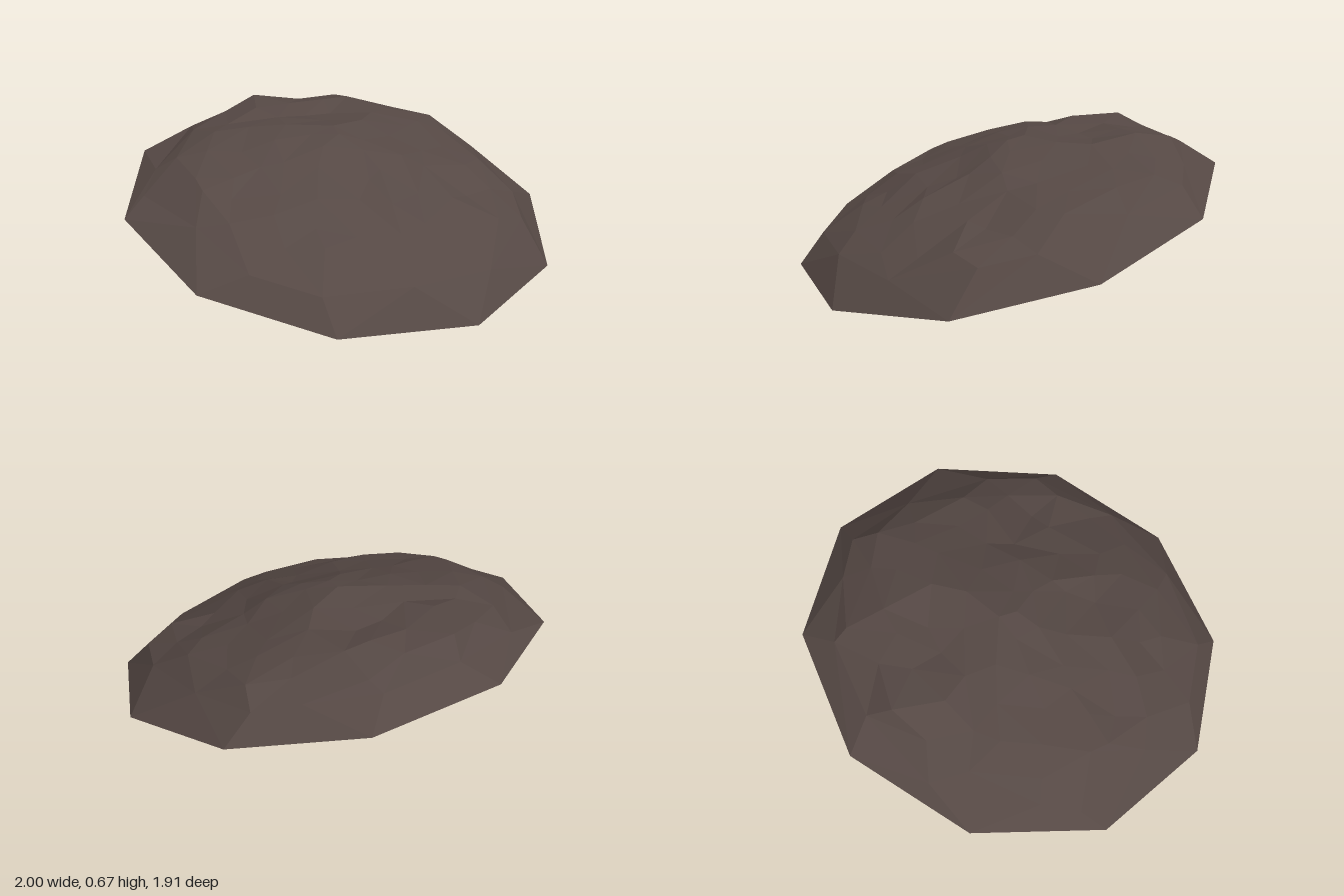
import * as THREE from 'three';

// Half of the ten-cornered rim (x, z); the other half is point-symmetric
const HALF_RIM = [[0.41, 0.88], [-0.21, 0.955], [-0.74, 0.665], [-1, 0.12], [-0.87, -0.47]];
const RIM = [...HALF_RIM, ...HALF_RIM.map(([x, z]) => [-x, -z])];

// Dome height above the rim plane, by fraction of the way out from the centre
const PROFILE = [
  [0, 0.34], [0.3, 0.305], [0.5, 0.255], [0.63, 0.22], [0.75, 0.18], [0.85, 0.135], [0.92, 0.085], [1, 0],
];

// Rings from the rim inward: scale and number of points
const RINGS = [[1, 10], [0.88, 15], [0.75, 20], [0.61, 20], [0.45, 15], [0.29, 10], [0.13, 5]];

// Bumps and hollows: x, z, radius, height
const BUMPS = [
  [0.02, 0, 0.15, 0.012], [-0.3, -0.5, 0.13, 0.035], [0.2, -0.5, 0.13, 0.025],
  [-0.02, -0.32, 0.13, -0.035], [0.44, 0.2, 0.13, -0.045], [0.28, 0.68, 0.11, -0.025],
  [-0.42, 0.12, 0.12, -0.025], [0.45, -0.46, 0.11, 0.025], [0.68, -0.46, 0.12, 0.05],
  [0.87, -0.15, 0.16, 0.055], [0.82, 0.28, 0.16, 0.05], [0, 0.83, 0.14, 0.05],
  [-0.88, 0, 0.16, -0.02], [0.1, 0.3, 0.14, -0.02], [-0.64, -0.44, 0.12, -0.02],
];

function makeRandom(seed) {
  return () => {
    seed = (seed * 16807) % 2147483647;
    return seed / 2147483647 - 0.5;
  };
}

// Point on the rim polygon, t counted in corners
function rimPoint(t) {
  const u = ((t % 10) + 10) % 10, i = Math.floor(u), f = u - i;
  const a = RIM[i], b = RIM[(i + 1) % 10];
  return [a[0] + (b[0] - a[0]) * f, a[1] + (b[1] - a[1]) * f];
}

function profileHeight(s) {
  for (let i = 1; i < PROFILE.length; i++) {
    const [s0, h0] = PROFILE[i - 1], [s1, h1] = PROFILE[i];
    if (s <= s1) return h0 + ((h1 - h0) * (s - s0)) / (s1 - s0);
  }
  return 0;
}

// Tilted rim plane plus dome plus bumps
function surfacePoint(t, s, lift) {
  const [x, z] = rimPoint(t).map((v) => v * s);
  let y = 0.267 - 0.078 * x - 0.265 * z + profileHeight(s) + lift;
  if (s < 1) {
    for (const [bx, bz, r, h] of BUMPS) {
      y += h * Math.exp(-((x - bx) ** 2 + (z - bz) ** 2) / (r * r));
    }
  }
  return [x, y, z];
}

function shellGeometry() {
  const rand = makeRandom(2903);
  const positions = [], index = [];

  // Irregular rings of points; the rim itself stays exact
  const rings = RINGS.map(([scale, n], k) => {
    const ring = [], jitter = k === 0 ? 0 : 1, step = 10 / n;
    for (let i = 0; i < n; i++) {
      const t = (i + (k % 2 === 1 ? 0.5 : 0) + jitter * rand() * 0.6) * step;
      const s = scale + jitter * rand() * 0.09;
      ring.push({ t, id: positions.length / 3 });
      positions.push(...surfacePoint(t, s, jitter * rand() * 0.03));
    }
    return ring;
  });

  // Stitch each ring to the next, advancing whichever side lags behind
  const at = (ring, i) => ({
    id: ring[i % ring.length].id,
    t: ring[i % ring.length].t + 10 * Math.floor(i / ring.length),
  });
  for (let k = 0; k + 1 < rings.length; k++) {
    const outer = rings[k], inner = rings[k + 1];
    let a = 0, b = 0;
    while (a < outer.length || b < inner.length) {
      const o = at(outer, a), o2 = at(outer, a + 1), n = at(inner, b), n2 = at(inner, b + 1);
      const moveOuter = b >= inner.length || (a < outer.length && o2.t + o.t < n2.t + n.t);
      if (moveOuter) {
        index.push(o.id, n.id, o2.id);
        a++;
      } else {
        index.push(o.id, n.id, n2.id);
        b++;
      }
    }
  }

  // Close the crown
  const crown = positions.length / 3;
  positions.push(...surfacePoint(0, 0, 0));
  const last = rings[rings.length - 1];
  last.forEach((p, i) => index.push(p.id, crown, last[(i + 1) % last.length].id));

  // Wind every face so that it looks upward
  for (let i = 0; i < index.length; i += 3) {
    const [a, b, c] = [0, 1, 2].map((j) => new THREE.Vector3().fromArray(positions, index[i + j] * 3));
    if (b.sub(a).cross(c.sub(a)).y < 0) [index[i + 1], index[i + 2]] = [index[i + 2], index[i + 1]];
  }

  const geometry = new THREE.BufferGeometry();
  geometry.setAttribute('position', new THREE.Float32BufferAttribute(positions, 3));
  geometry.setIndex(index);
  const faceted = geometry.toNonIndexed();
  faceted.computeVertexNormals();
  return faceted;
}

export function createModel() {
  const group = new THREE.Group();
  group.name = 'rockMound';

  // Open, tilted rock shell
  const material = new THREE.MeshStandardMaterial({
    color: 0x554844,
    flatShading: true,
    side: THREE.DoubleSide,
  });
  const shell = new THREE.Mesh(shellGeometry(), material);
  shell.name = 'rockShell';
  group.add(shell);
  return group;
}
